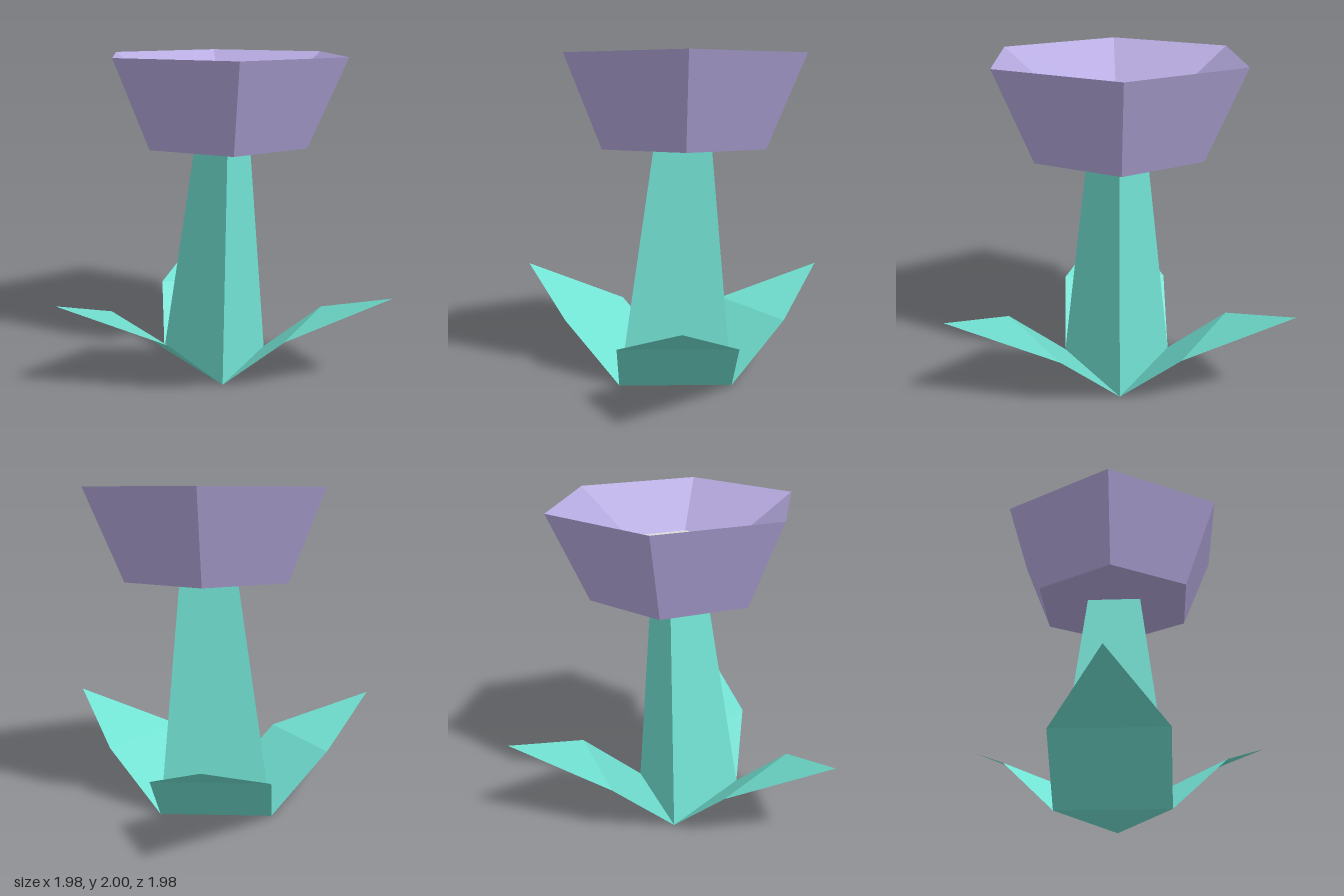
import * as THREE from 'three';

export function createModel() {
  const mat = (name, color, side = THREE.FrontSide) =>
    new THREE.MeshStandardMaterial({ name, color, side, flatShading: true });
  const leafGreen = mat('teal green', 0x72e2d3, THREE.DoubleSide);
  const petalPurple = mat('lavender', 0xb6aadf);
  const centreGrey = mat('pale grey', 0xdcdcdc);

  const group = new THREE.Group();
  group.name = 'flower';
  const add = (name, geometry, material, x) => {
    const mesh = new THREE.Mesh(geometry, material);
    mesh.name = name;
    mesh.position.x = x;
    group.add(mesh);
    return mesh;
  };

  const baseX = 0.157, headX = 0.204;

  // Tapering three-sided stem, leaning slightly so its top meets the bloom
  const height = 1.46;
  const stem = new THREE.CylinderGeometry(0.2, 0.398, height, 3, 1, false, Math.PI / 2);
  stem.translate(0, height / 2, 0);
  const p = stem.attributes.position;
  for (let i = 0; i < p.count; i++) {
    p.setX(i, p.getX(i) + (headX - baseX) * p.getY(i) / height);
  }
  add('stem', stem, leafGreen, baseX);

  // Folded leaf: a sloping quad from one stem edge, then a pointed tip
  const w = 0.345;
  const leaf = new THREE.BufferGeometry();
  leaf.setAttribute('position', new THREE.Float32BufferAttribute([
    -w, 0, 0.199, w, 0, 0.199,
    -w, 0.355, 0.598, w, 0.355, 0.598,
    0, 0.605, 1.146,
  ], 3));
  leaf.setIndex([0, 2, 1, 1, 2, 3, 2, 4, 3]);
  const flatLeaf = leaf.toNonIndexed();
  flatLeaf.computeVertexNormals();
  for (let i = 0; i < 3; i++) {
    const mesh = add('leaf' + (i + 1), flatLeaf, leafGreen, baseX);
    mesh.rotation.y = -Math.PI / 2 + i * Math.PI * 2 / 3;
  }

  // Six-sided bloom: closed underside, flared outside, sharp rim, sloping inside
  const profile = [[0, 1.455], [0.547, 1.455], [0.782, 2], [0.391, 1.73]]
    .map(([r, y]) => new THREE.Vector2(r, y));
  add('petals', new THREE.LatheGeometry(profile, 6, Math.PI / 6), petalPurple, headX);

  // Flat hexagonal centre
  const centre = new THREE.CircleGeometry(0.391, 6);
  centre.rotateX(-Math.PI / 2);
  add('flowerCentre', centre, centreGrey, headX).position.y = 1.73;

  return group;
}
